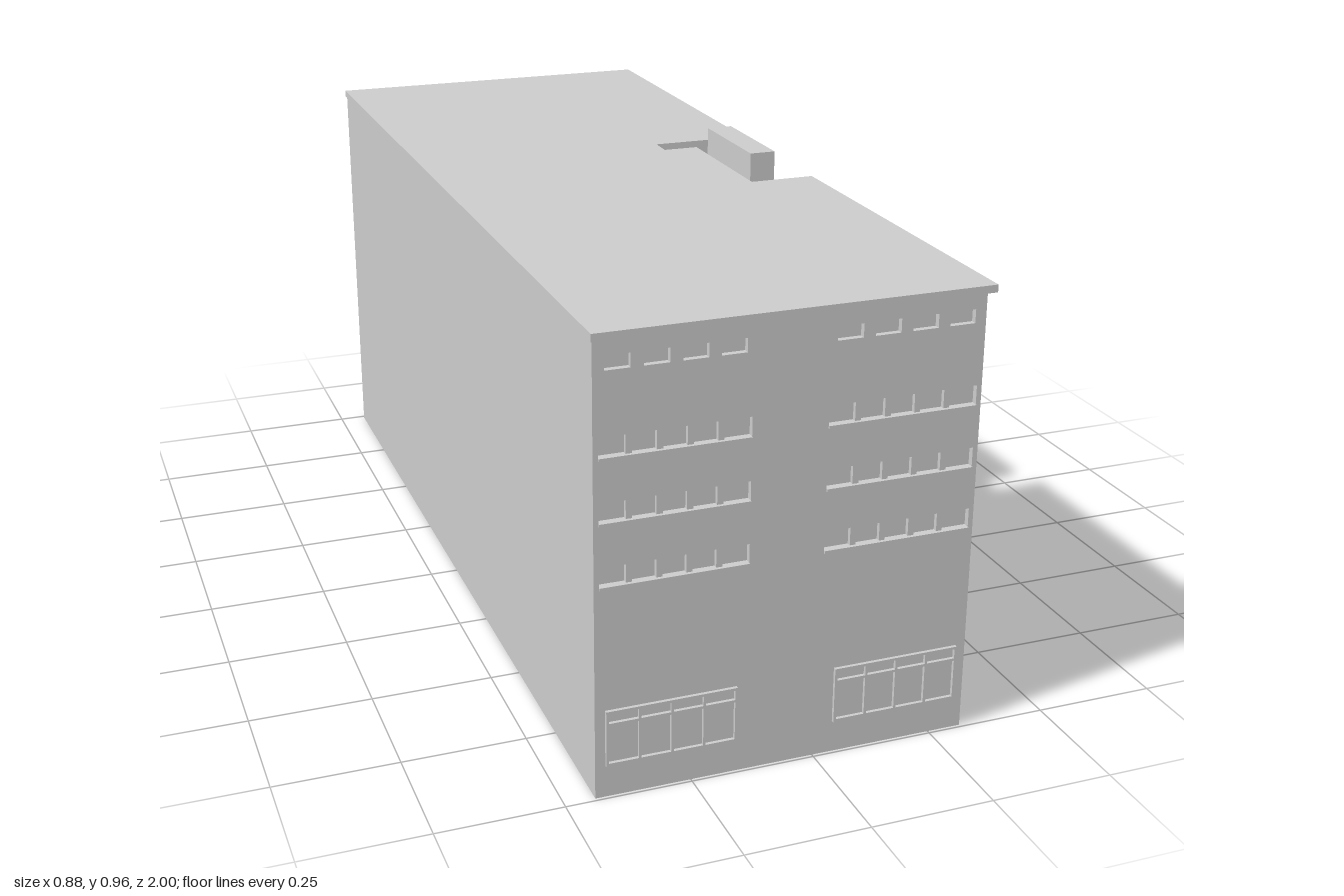
import * as THREE from 'three';

export function createModel() {
  const model = new THREE.Group();
  const mat = new THREE.MeshStandardMaterial({ color: 0xcccccc, flatShading: true });

  const add = (parent, name, geo) => {
    const mesh = new THREE.Mesh(geo, mat);
    mesh.name = name;
    parent.add(mesh);
    return mesh;
  };
  // Box given by its lower and upper limits on each axis
  const box = (parent, name, x0, x1, y0, y1, z0, z1) => {
    const mesh = add(parent, name, new THREE.BoxGeometry(x1 - x0, y1 - y0, z1 - z0));
    mesh.position.set((x0 + x1) / 2, (y0 + y1) / 2, (z0 + z1) / 2);
    return mesh;
  };
  const outline = (pts) => new THREE.Shape(pts.map(([a, b]) => new THREE.Vector2(a, b)));
  // Floor plan extruded upwards, with a notch in the +x side
  const plan = (name, x0, x1, z0, z1, notchX, notchZ, y0, y1) => {
    const shape = outline([[x0, -z1], [x1, -z1], [x1, -notchZ], [notchX, -notchZ],
      [notchX, notchZ], [x1, notchZ], [x1, -z0], [x0, -z0]]);
    const geo = new THREE.ExtrudeGeometry(shape, { depth: y1 - y0, bevelEnabled: false });
    geo.rotateX(-Math.PI / 2);
    add(model, name, geo).position.y = y0;
  };
  // Wall panel with rectangular openings [u0, u1, y0, y1]
  const panel = (parent, name, u0, u1, y0, y1, holes, depth) => {
    const shape = outline([[u0, y0], [u1, y0], [u1, y1], [u0, y1]]);
    for (const [a, b, c, d] of holes) {
      shape.holes.push(outline([[a, c], [a, d], [b, d], [b, c]]));
    }
    return add(parent, name, new THREE.ExtrudeGeometry(shape, { depth, bevelEnabled: false }));
  };

  const H = 0.9;
  const floors = [0.43, 0.555, 0.68];
  const WALL = 0.32;

  // Core, roof slab with notch, stair tower
  plan('core', -0.44, 0.30, -0.978, 0.981, 0.22, 0.25, 0, H);
  plan('roofSlab', -0.442, 0.34, -1, 0.995, 0.12, 0.19, H, 0.915);
  box(model, 'entranceTower', 0.222, 0.279, 0.05, 0.96, -0.125, 0.125);

  // Entrance steps, running back into the recess
  [[0.44, 0.25], [0.42, 0.232], [0.405, 0.216], [0.39, 0.202]].forEach(([x, z], i) => {
    box(model, 'entranceStep', 0.2, x, i * 0.0195, (i + 1) * 0.0195, -z, z);
  });

  // Floor bands on the recess walls
  for (const y of [0.18, 0.305, ...floors, 0.805]) {
    for (const s of [-1, 1]) {
      const z = s * 0.248;
      box(model, 'recessBand', 0.21, WALL, y, y + 0.003, z - 0.002, z + 0.002);
    }
    box(model, 'recessBackBand', 0.218, 0.222, y, y + 0.003, -0.25, 0.25);
  }

  // End walls: s = 1 is the front, s = -1 the back
  const makeEnd = (s) => {
    const end = new THREE.Group();
    end.name = s > 0 ? 'frontWall' : 'backWall';
    const span = (a, b) => (s > 0 ? [a, b] : [-b, -a]);
    const [w0, w1] = span(-0.44, WALL);
    const strips = [span(-0.43, -0.14), span(0.01, 0.31)];
    const holes = [];
    for (const y of floors) {
      for (const [a, b] of strips) holes.push([a, b, y + 0.004, y + 0.042]);
    }
    // Small clerestory openings under the eaves
    for (const [a, b] of strips) {
      const w = (b - a) / 4;
      for (let i = 0; i < 4; i++) {
        holes.push([a + i * w + 0.012, a + (i + 1) * w - 0.012, 0.845, 0.872]);
      }
    }
    panel(end, 'endPanel', w0, w1, 0, H, holes, 0.012);
    for (const [a, b] of strips) {
      for (const y of floors) {
        box(end, 'windowSill', a, b, y - 0.002, y + 0.004, 0.004, 0.016);
        for (let i = 1; i < 5; i++) {
          const u = a + ((b - a) * i) / 5;
          box(end, 'mullion', u - 0.006, u + 0.006, y, y + 0.042, 0, 0.009);
        }
      }
    }
    // Ground floor windows: four panes with a transom row
    for (const [a, b] of [span(-0.42, -0.16), span(0.04, 0.30)]) {
      const w = (b - a - 0.005) / 4;
      const panes = [];
      for (let i = 0; i < 4; i++) {
        const u0 = a + 0.005 + i * w, u1 = a + (i + 1) * w;
        panes.push([u0, u1, 0.073, 0.152], [u0, u1, 0.157, 0.177]);
      }
      panel(end, 'groundWindowFrame', a, b, 0.066, 0.182, panes, 0.008).position.z = 0.011;
    }
    end.position.z = s > 0 ? 0.981 : -0.978;
    if (s < 0) end.rotation.y = Math.PI;
    model.add(end);
  };
  makeEnd(1);
  makeEnd(-1);

  // Two entrance-side wings, mirrored about the tower
  const makeWing = (s) => {
    const wing = new THREE.Group();
    wing.name = s > 0 ? 'frontWing' : 'backWing';
    const span = (a, b) => (s > 0 ? [-b, -a] : [a, b]);
    const outer = s > 0 ? 0.981 : 0.978;
    const [w0, w1] = span(0.25, outer);
    const holes = [[...span(0.54, 0.762), 0.09, 0.34]];
    const bays = [[0.545, 0.757], [0.79, 0.965]].map(([a, b]) => span(a, b));
    for (const [a, b] of bays) {
      for (const y of floors) holes.push([a, b, y + 0.004, y + 0.045]);
      holes.push([a, b, 0.842, 0.87]);
    }
    // Grid of separate windows in the inner bay
    const [g0, g1] = span(0.335, 0.51);
    const gw = (g1 - g0) / 3;
    const rows = [[0.225, 0.295], ...floors.map((y) => [y - 0.005, y + 0.065]), [0.842, 0.87]];
    for (const [y0, y1] of rows) {
      for (let i = 0; i < 3; i++) {
        const a = g0 + i * gw + 0.008, b = g0 + (i + 1) * gw - 0.008;
        holes.push([a, b, y0, y1]);
        box(wing, 'glazingBar', a, b, (y0 + y1) / 2 - 0.002, (y0 + y1) / 2 + 0.002, 0, 0.014);
        if (y0 < 0.8) box(wing, 'smallSill', a - 0.003, b + 0.003, y0 - 0.005, y0, 0.015, 0.024);
      }
    }
    panel(wing, 'wingPanel', w0, w1, 0, H, holes, 0.02);
    // Sills and mullions of the window strips
    for (const [a, b] of bays) {
      for (const y of [...floors, 0.838]) {
        box(wing, 'windowSill', a - 0.01, b + 0.01, y - 0.002, y + 0.004, 0.01, 0.026);
        for (let i = 1; i < 4; i++) {
          const u = a + ((b - a) * i) / 4;
          box(wing, 'mullion', u - 0.006, u + 0.006, y, y + (y > 0.8 ? 0.032 : 0.045), 0, 0.016);
        }
      }
    }
    // Full-height pilasters
    for (const z of [0.312, 0.53, 0.775]) {
      const [a, b] = span(z - 0.007, z + 0.007);
      box(wing, 'pilaster', a, b, 0, H, 0.01, 0.031);
    }
    wing.rotation.y = Math.PI / 2;
    wing.position.x = 0.30;
    model.add(wing);
  };
  makeWing(1);
  makeWing(-1);

  return model;
}
